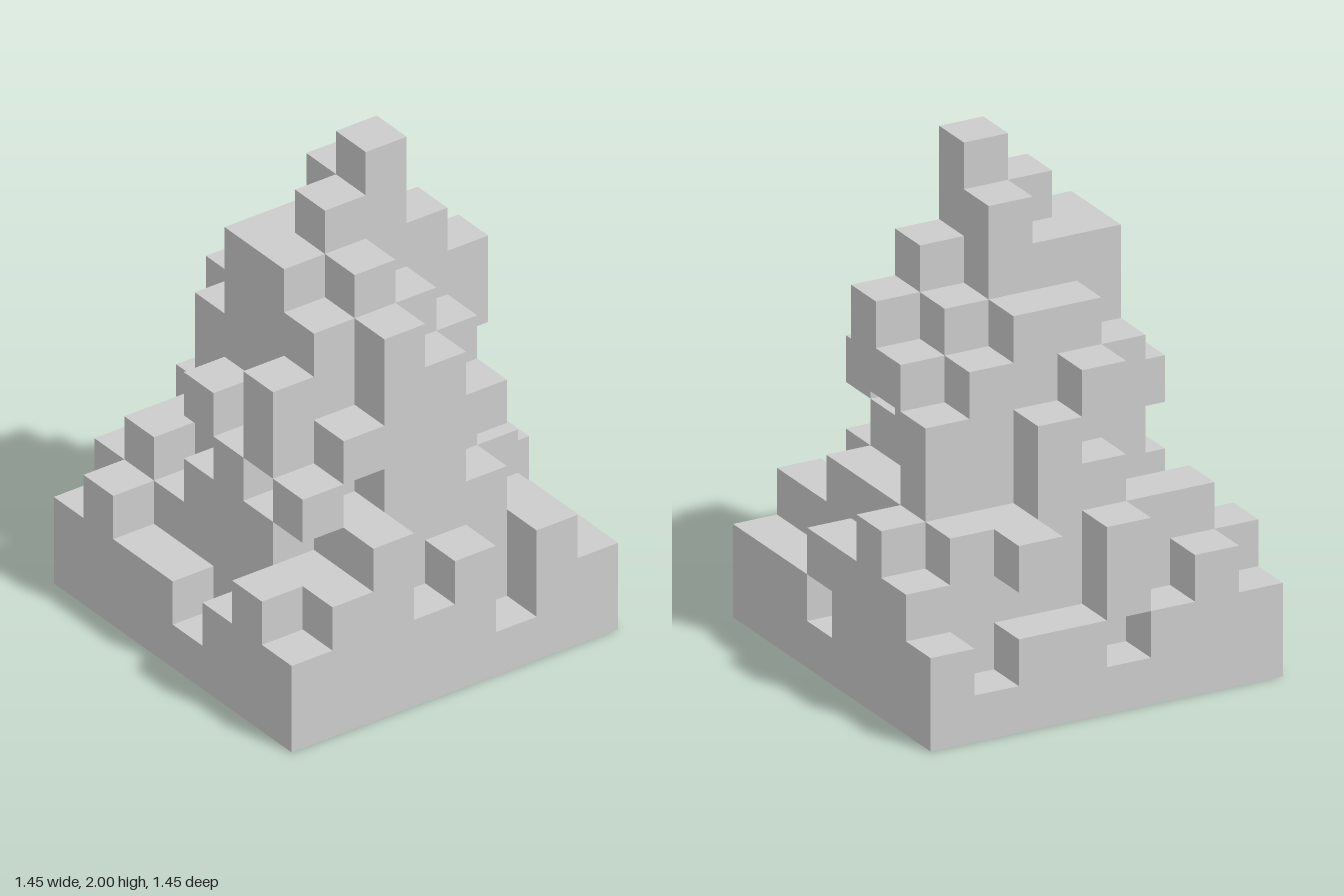
import * as THREE from 'three';

const U = 2 / 11; // edge of one block
const N = 8;      // blocks per side

// Column heights in blocks: rows run back to front, entries run from -x to +x
const HEIGHTS = [
  [2, 3, 4, 3, 3, 2, 2, 2],
  [1, 4, 6, 7, 8, 4, 3, 3],
  [4, 4, 7, 8, 9, 7, 6, 1],
  [2, 6, 8, 10, 11, 8, 7, 3],
  [4, 7, 8, 9, 10, 9, 8, 2],
  [2, 4, 7, 9, 9, 8, 6, 4],
  [3, 4, 3, 6, 5, 7, 5, 3],
  [2, 3, 2, 2, 1, 2, 3, 2],
];

// Blocks missing under overhangs, as "x,y,z"
const GAPS = new Set([
  '4,1,0', '0,1,4', '0,2,2', '1,5,4', '3,4,6', '5,4,6', '6,3,6', '6,4,5',
  '6,4,2', '5,5,2', '3,4,1', '3,5,1', '4,4,1', '4,5,1',
]);

const filled = (x, y, z) =>
  x >= 0 && x < N && z >= 0 && z < N && y >= 0 &&
  y < HEIGHTS[z][x] && !GAPS.has(`${x},${y},${z}`);

// Outer skin of the blocks in layers y0 to y1, open at the ground
function skin(y0, y1) {
  const positions = [];
  const addFace = (cell, axis, sign) => {
    const b = (axis + 1) % 3, c = (axis + 2) % 3;
    const corner = (s, t) => {
      const p = [...cell];
      p[axis] += sign > 0 ? 1 : 0;
      p[b] += s;
      p[c] += t;
      return [(p[0] - N / 2) * U, p[1] * U, (p[2] - N / 2) * U];
    };
    const q = [corner(0, 0), corner(1, 0), corner(1, 1), corner(0, 1)];
    if (sign < 0) q.reverse();
    for (const n of [0, 1, 2, 0, 2, 3]) positions.push(...q[n]);
  };
  for (let y = y0; y < y1; y++)
    for (let z = 0; z < N; z++)
      for (let x = 0; x < N; x++) {
        if (!filled(x, y, z)) continue;
        for (let axis = 0; axis < 3; axis++)
          for (const sign of [-1, 1]) {
            const next = [x, y, z];
            next[axis] += sign;
            if (next[1] >= 0 && !filled(...next)) addFace([x, y, z], axis, sign);
          }
      }
  const geometry = new THREE.BufferGeometry();
  geometry.setAttribute('position', new THREE.Float32BufferAttribute(positions, 3));
  geometry.computeVertexNormals();
  return geometry;
}

export function createModel() {
  const group = new THREE.Group();
  group.name = 'blockMountain';
  const material = new THREE.MeshStandardMaterial({
    color: 0xcccccc, flatShading: true, side: THREE.DoubleSide,
  });
  // Square base, stepped slopes and the narrow summit
  for (const [name, from, to] of [['base', 0, 2], ['slopes', 2, 9], ['summit', 9, 11]]) {
    const mesh = new THREE.Mesh(skin(from, to), material);
    mesh.name = name;
    group.add(mesh);
  }
  return group;
}
